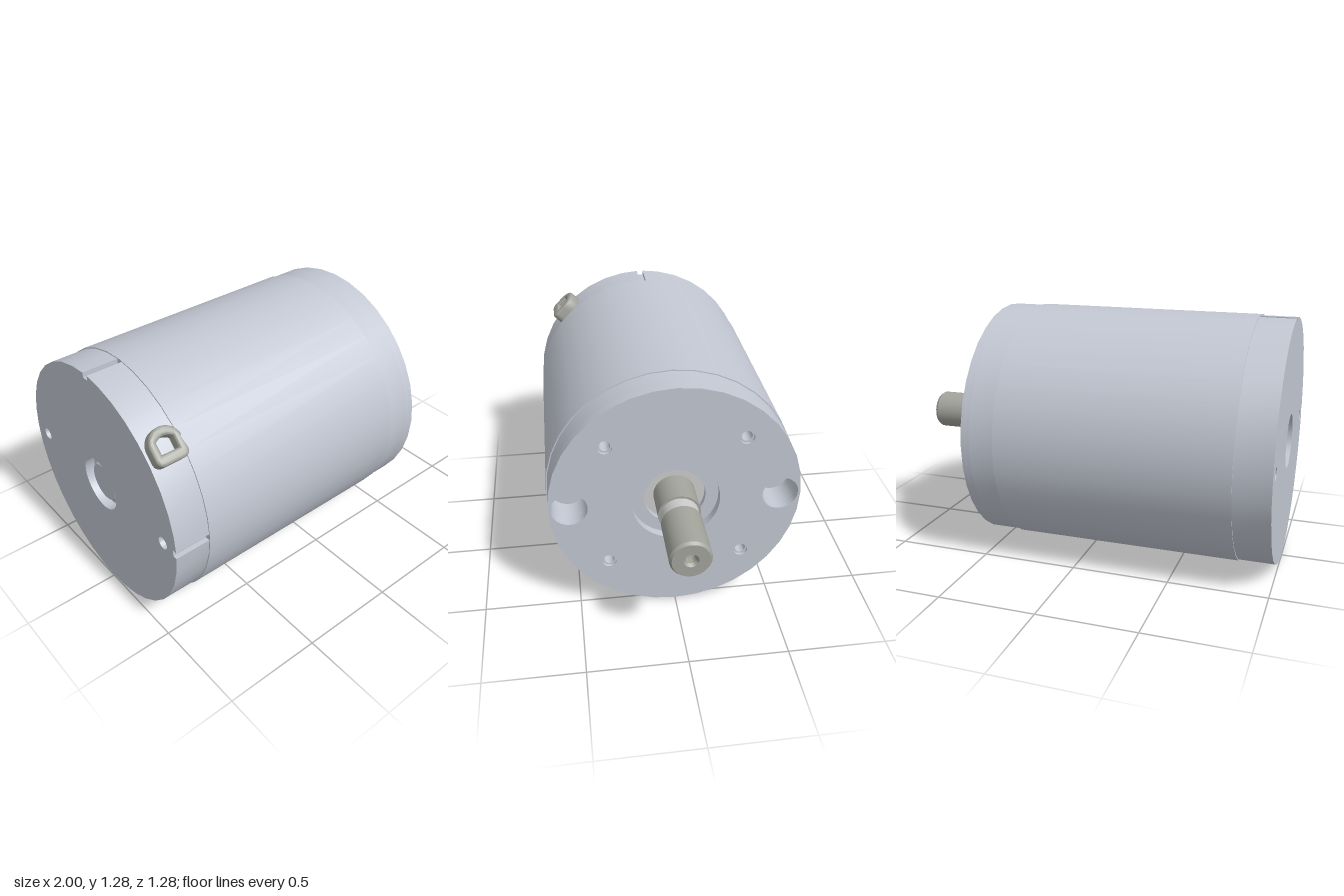
import * as THREE from 'three';
import { toCreasedNormals } from 'three/addons/utils/BufferGeometryUtils.js';

const AXIS_Y = 0.64;
const BODY = 0xc2c7d2, STEEL = 0xa2a39b, LIGHT = 0xe4e4e4;

export function createModel() {
  const model = new THREE.Group();
  const motor = new THREE.Group();
  motor.name = 'motor';
  motor.position.y = AXIS_Y;
  model.add(motor);

  const add = (name, geometry, color) => {
    const material = new THREE.MeshStandardMaterial({ color });
    const mesh = new THREE.Mesh(toCreasedNormals(geometry, 0.55), material);
    mesh.name = name;
    motor.add(mesh);
    return mesh;
  };

  // Solid turned about the x axis; profile is [radius, x] with x rising on outer walls
  const turned = (name, profile, color, segments = 36) => {
    const points = profile.map(([r, x]) => new THREE.Vector2(r, x));
    return add(name, new THREE.LatheGeometry(points, segments).rotateZ(-Math.PI / 2), color);
  };

  // Round plate from x0 to x1, with [z, y, radius] holes and notches cut into the rim
  const plate = (name, x0, x1, radius, holes, notches = []) => {
    const points = [];
    for (let i = 0; i < 36; i++) {
      const a = i * Math.PI / 18;
      const dir = new THREE.Vector2(Math.cos(a), Math.sin(a));
      if (!notches.includes(i)) {
        points.push(dir.multiplyScalar(radius));
        continue;
      }
      for (const [r, w] of [[radius, -0.018], [radius - 0.025, -0.018], [radius - 0.025, 0.018], [radius, 0.018]])
        points.push(new THREE.Vector2(r, w).rotateAround(new THREE.Vector2(), a));
    }
    const shape = new THREE.Shape(points);
    for (const [z, y, r] of holes)
      shape.holes.push(new THREE.Path().absarc(-z, y, r, 0, Math.PI * 2, true));
    const geometry = new THREE.ExtrudeGeometry(shape, { depth: x1 - x0, bevelEnabled: false, curveSegments: 18 });
    return add(name, geometry.rotateY(Math.PI / 2).translate(x0, 0, 0), BODY);
  };

  // Housing sleeve, slightly proud of both end caps
  turned('housingSleeve', [[0, -0.82], [0.638, -0.82], [0.638, 0.37], [0, 0.37]], BODY);

  // Drive-end cap: four screw holes with wider mouths, two large blind holes, stepped bore
  const screws = (r) => [[1, 1], [1, -1], [-1, 1], [-1, -1]].map(([a, b]) => [a * 0.342, b * 0.342, r]);
  const pockets = [[0.528, 0, 0.091], [-0.528, 0, 0.091]];
  plate('frontCapBase', 0.37, 0.5, 0.632, [...screws(0.027), ...pockets, [0, 0, 0.155]]);
  plate('frontCapMiddle', 0.5, 0.53, 0.632, [...screws(0.027), ...pockets, [0, 0, 0.221]]);
  plate('frontCapFace', 0.53, 0.545, 0.632, [...screws(0.036), ...pockets, [0, 0, 0.221]]);
  turned('frontBearing', [[0, 0.37], [0.155, 0.37], [0.155, 0.47], [0, 0.47]], LIGHT);

  // Rear cap: notched at the top and front, with two small holes and a shaft recess
  const pins = [[0.528, 0, 0.032], [-0.528, 0, 0.032]];
  plate('rearCap', -1, -0.82, 0.632, [...pins, [0, 0, 0.14]], [9, 18]);
  turned('rearBearing', [[0, -0.95], [0.14, -0.95], [0.14, -0.82], [0, -0.82]], BODY);
  turned('rearShaftEnd', [[0, -0.98], [0.095, -0.98], [0.105, -0.97], [0.105, -0.94], [0, -0.94]], BODY);

  // Output shaft: collar, groove, chamfered end with a centre hole
  turned('shaftCollar', [[0, 0.45], [0.105, 0.45], [0.105, 0.652], [0, 0.652]], STEEL);
  turned('shaftGroove', [[0, 0.64], [0.095, 0.64], [0.095, 0.72], [0, 0.72]], LIGHT);
  turned('shaft', [
    [0, 0.71], [0.09, 0.71], [0.1, 0.72], [0.1, 0.985], [0.09, 1],
    [0.036, 1], [0.026, 0.985], [0.026, 0.95], [0, 0.94],
  ], STEEL);

  // Cable grommet: rounded D-shaped ring set at 45 degrees on the rear cap
  const ring = new THREE.Shape();
  ring.moveTo(-0.045, -0.068).lineTo(0.045, -0.068);
  ring.quadraticCurveTo(0.068, -0.068, 0.068, -0.045);
  ring.lineTo(0.068, 0.005);
  ring.absarc(0, 0.002, 0.068, 0, Math.PI, false);
  ring.lineTo(-0.068, -0.045);
  ring.quadraticCurveTo(-0.068, -0.068, -0.045, -0.068);
  const opening = new THREE.Path();
  opening.moveTo(-0.058, -0.046).lineTo(-0.058, 0.03);
  opening.quadraticCurveTo(0, 0.078, 0.058, 0.03);
  opening.lineTo(0.058, -0.046).lineTo(-0.058, -0.046);
  ring.holes.push(opening);
  const grommet = add('cableGrommet', new THREE.ExtrudeGeometry(ring, {
    depth: 0.045, bevelSize: 0.014, bevelThickness: 0.014, bevelSegments: 4, curveSegments: 10,
  }), STEEL);
  grommet.rotation.x = -Math.PI / 4;
  grommet.position.set(-0.905, 0.631 * Math.SQRT1_2, 0.631 * Math.SQRT1_2);

  return model;
}
